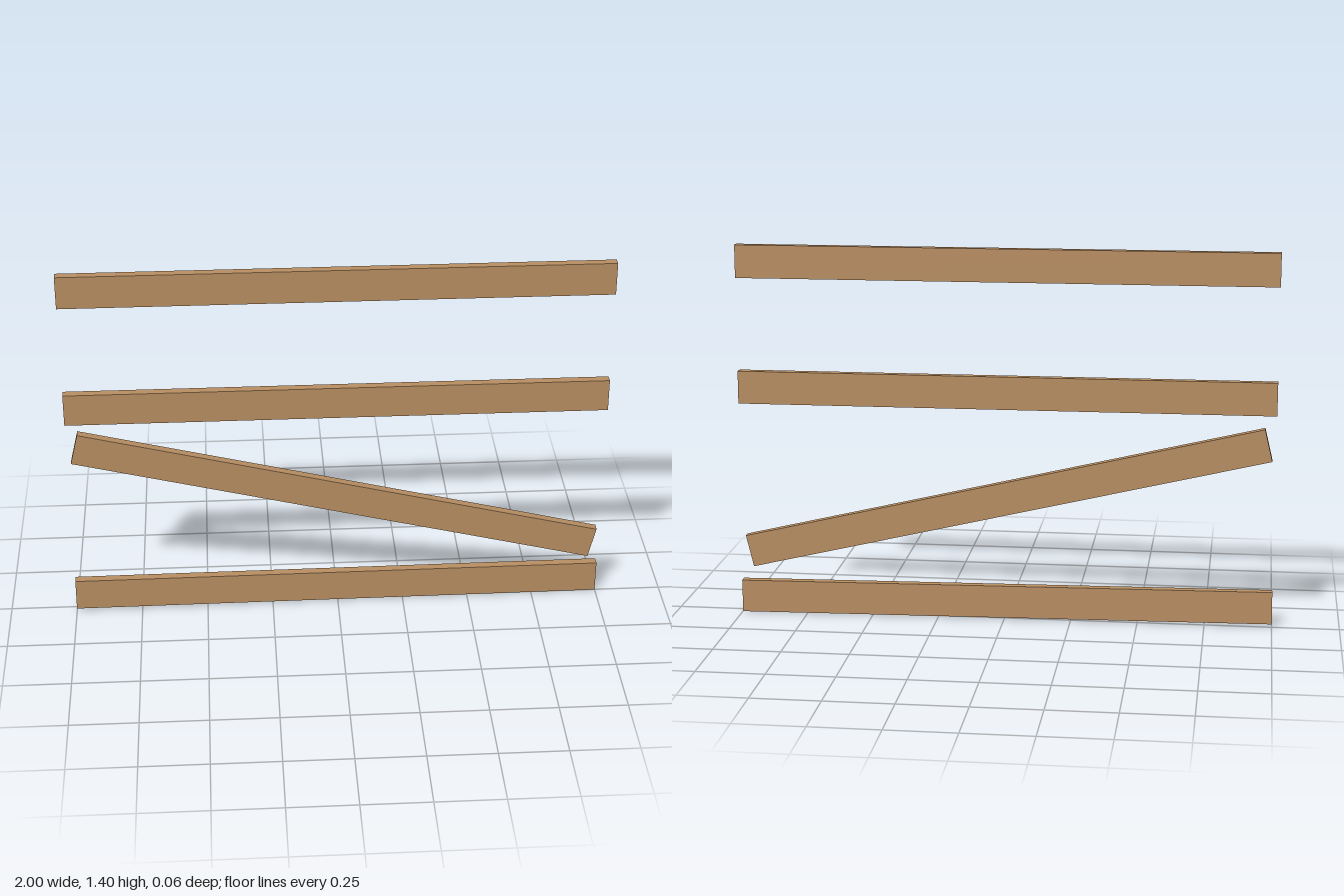
import * as THREE from 'three';

// Four loose fence boards, two level and two slightly askew.
export function createModel() {
  const group = new THREE.Group();
  const wood = new THREE.MeshStandardMaterial({ color: 0xb88e62 });
  wood.name = 'wood';
  const plank = new THREE.BoxGeometry(2, 0.123, 0.033);

  // name, centre height, yaw, tilt
  const boards = [
    ['topRail', 1.34, 0, 0],
    ['upperRail', 0.867, 0, 0],
    ['fallenRail', 0.465, -0.01, -0.2347],
    ['bottomRail', 0.068, 0.0148, -0.006],
  ];
  for (const [name, y, yaw, tilt] of boards) {
    const board = new THREE.Mesh(plank, wood);
    board.name = name;
    board.position.y = y;
    board.rotation.set(0, yaw, tilt, 'YXZ');
    group.add(board);
  }
  return group;
}
